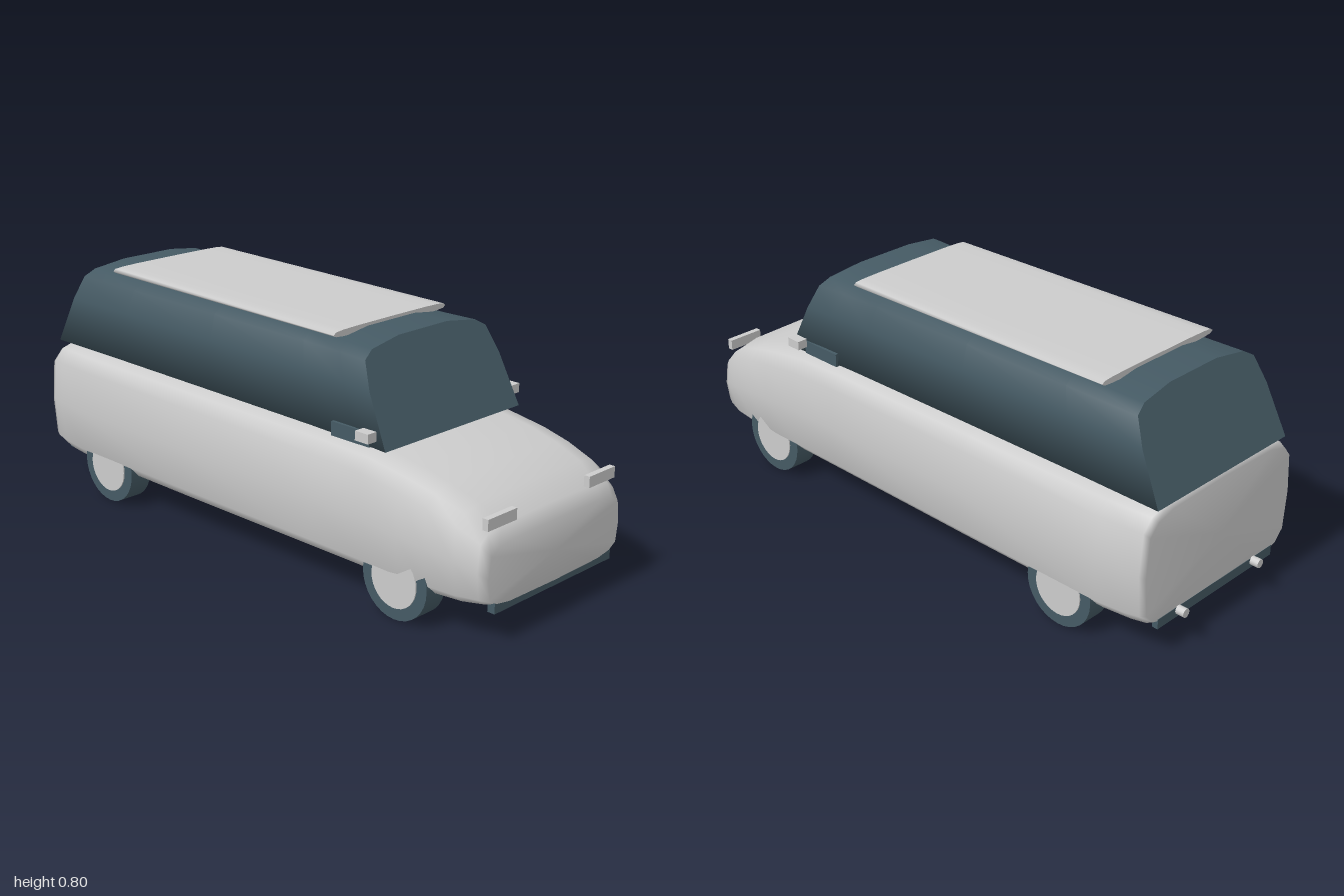
import * as THREE from 'three';

const paint = new THREE.MeshStandardMaterial({ color: 0xcccccc });
paint.name = 'light grey';
const dark = new THREE.MeshStandardMaterial({ color: 0x455a64 });
dark.name = 'slate';

// Skin closed rings (counter-clockwise seen from +z) listed front to back.
function loft(rings, sharpCaps = false) {
  const n = rings[0].length, pos = [], idx = [];
  rings.forEach(r => r.forEach(p => pos.push(...p)));
  for (let i = 0; i < rings.length - 1; i++) {
    for (let j = 0; j < n; j++) {
      const a = i * n + j, b = i * n + (j + 1) % n;
      idx.push(a, a + n, b, b, a + n, b + n);
    }
  }
  [0, rings.length - 1].forEach((ri, back) => {
    const ring = rings[ri];
    let start = ri * n;
    if (sharpCaps) {
      start = pos.length / 3;
      ring.forEach(p => pos.push(...p));
    }
    const c = pos.length / 3;
    pos.push(...[0, 1, 2].map(k => ring.reduce((s, p) => s + p[k], 0) / n));
    for (let j = 0; j < n; j++) {
      const a = start + j, b = start + (j + 1) % n;
      if (back) idx.push(c, b, a);
      else idx.push(c, a, b);
    }
  });
  const g = new THREE.BufferGeometry();
  g.setAttribute('position', new THREE.Float32BufferAttribute(pos, 3));
  g.setIndex(idx);
  g.computeVertexNormals();
  return g;
}

// Rounded-box outline at one z station.
function squircle(z, w, bottom, top, power = 5, n = 16) {
  const f = v => Math.sign(v) * Math.pow(Math.abs(v) < 1e-9 ? 0 : Math.abs(v), 2 / power);
  return Array.from({ length: n }, (_, j) => {
    const a = j / n * Math.PI * 2;
    return [w * f(Math.cos(a)), (bottom + top) / 2 + (top - bottom) / 2 * f(Math.sin(a)), z];
  });
}

export function createModel() {
  const model = new THREE.Group();
  const add = (name, geo, mat, x = 0, y = 0, z = 0) => {
    const m = new THREE.Mesh(geo, mat);
    m.name = name;
    m.position.set(x, y, z);
    model.add(m);
    return m;
  };
  const box = (name, mat, x, y, z, w, h, d) => add(name, new THREE.BoxGeometry(w, h, d), mat, x, y, z);

  // Body shell: z, half width, bottom, top
  const stations = [
    [1.0, 0.31, 0.115, 0.31], [0.97, 0.325, 0.104, 0.35], [0.9, 0.348, 0.094, 0.402],
    [0.8, 0.36, 0.089, 0.437], [0.7, 0.366, 0.086, 0.462], [0.55, 0.368, 0.086, 0.487],
    [0.35, 0.368, 0.086, 0.496], [-0.25, 0.368, 0.086, 0.503], [-0.8, 0.367, 0.088, 0.51],
    [-0.9, 0.358, 0.093, 0.51], [-0.95, 0.35, 0.1, 0.508], [-0.97, 0.342, 0.11, 0.495],
  ];
  add('body', loft(stations.map(s => squircle(...s))), paint);

  // Glass cabin: half outline (half width, height fraction), sloping at both ends
  const half = [[0.31, 0], [0.297, 0.57], [0.275, 0.86], [0.235, 0.94], [0.11, 1]];
  const outline = [...half, ...half.slice().reverse().map(([x, t]) => [-x, t])];
  const cabin = [[0, 1], [0.08, 0.97], [0.2, 0.955], [0.5, 0.955], [0.8, 0.96], [1, 0.975]];
  const lerp = THREE.MathUtils.lerp;
  add('cabin', loft(cabin.map(([s, k]) => outline.map(([x, t]) => [
    x * k,
    lerp(lerp(0.488, 0.508, s), lerp(0.775, 0.792, s), t),
    lerp(0.605 - 0.135 * t, -0.968 + 0.133 * t, s),
  ])), true), dark);

  // Roof panel, slightly raised toward the rear
  add('roofPanel', loft([
    squircle(0.34, 0.253, 0.763, 0.787, 4), squircle(-0.71, 0.253, 0.78, 0.803, 4),
  ], true), paint);

  // Wheels with hubs showing on both faces
  const tyre = new THREE.CylinderGeometry(0.125, 0.125, 0.082, 32).rotateZ(Math.PI / 2);
  const hub = new THREE.CylinderGeometry(0.087, 0.087, 0.09, 32).rotateZ(Math.PI / 2);

  for (const side of [1, -1]) {
    const prefix = side > 0 ? 'left' : 'right';
    for (const [end, z] of [['Front', 0.685], ['Rear', -0.652]]) {
      add(prefix + end + 'Tyre', tyre, dark, side * 0.31, 0.125, z);
      add(prefix + end + 'Hub', hub, paint, side * 0.31, 0.125, z);
    }
    // Lamps, mirrors and their mounts
    box(prefix + 'Headlight', paint, side * 0.236, 0.368, 0.973, 0.128, 0.036, 0.02);
    box(prefix + 'Mirror', paint, side * 0.332, 0.53, 0.547, 0.036, 0.03, 0.052);
    box(prefix + 'MirrorMount', dark, side * 0.284, 0.508, 0.46, 0.046, 0.045, 0.155);
    // Exhaust pipe
    add(prefix + 'Exhaust', new THREE.CylinderGeometry(0.015, 0.015, 0.07, 12).rotateX(Math.PI / 2),
      paint, side * 0.182, 0.123, -0.965);
  }

  // Bumpers
  box('frontBumper', dark, 0, 0.119, 0.986, 0.554, 0.044, 0.026);
  box('rearBumper', dark, 0, 0.117, -0.961, 0.554, 0.034, 0.02);
  return model;
}
